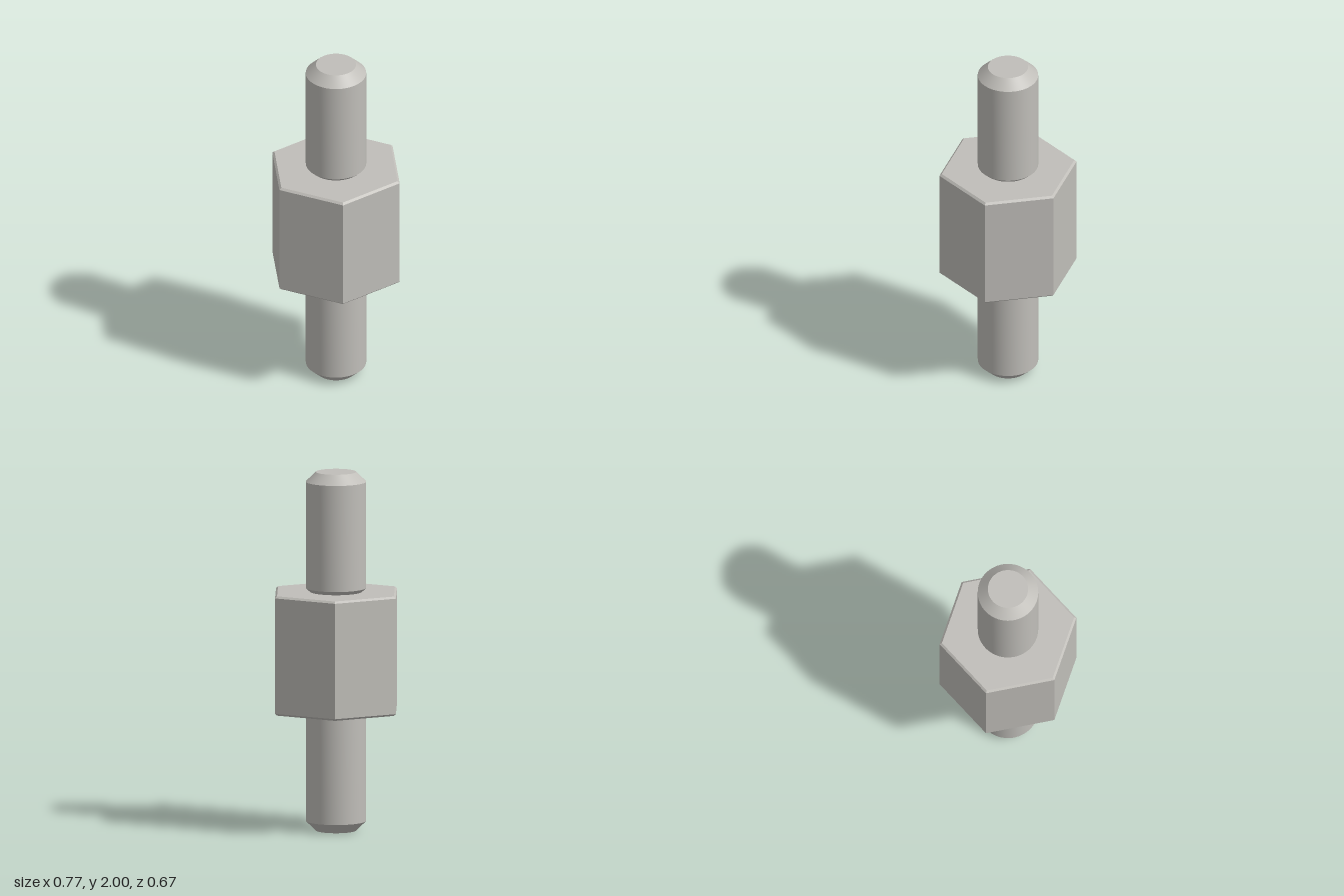
import * as THREE from 'three';
import { toCreasedNormals } from 'three/addons/utils/BufferGeometryUtils.js';

// Chamfered solid of revolution with closed ends; few segments give a prism
function chamferedBar(name, material, radius, y0, y1, inset, drop, segments) {
  const profile = [
    [0, y0], [radius - inset, y0], [radius, y0 + drop],
    [radius, y1 - drop], [radius - inset, y1], [0, y1],
  ].map(([r, y]) => new THREE.Vector2(r, y));
  const lathe = new THREE.LatheGeometry(profile, segments, Math.PI / 2);
  const mesh = new THREE.Mesh(toCreasedNormals(lathe, 0.4), material);
  mesh.name = name;
  return mesh;
}

export function createModel() {
  const metal = new THREE.MeshStandardMaterial({ color: 0xc0beb9 });
  metal.name = 'brushed metal';

  const group = new THREE.Group();
  group.name = 'hexStandoff';

  // Hexagonal body, corners on the x axis, with a fine edge chamfer
  group.add(chamferedBar('hexBody', metal, 0.385, 0.667, 1.333, 0.013, 0.011, 6));

  // Round studs above and below, chamfered at the tips
  const studs = [['lowerStud', 0, 0.7], ['upperStud', 1.3, 2]];
  for (const [name, y0, y1] of studs) {
    group.add(chamferedBar(name, metal, 0.167, y0, y1, 0.056, 0.054, 64));
  }
  return group;
}
